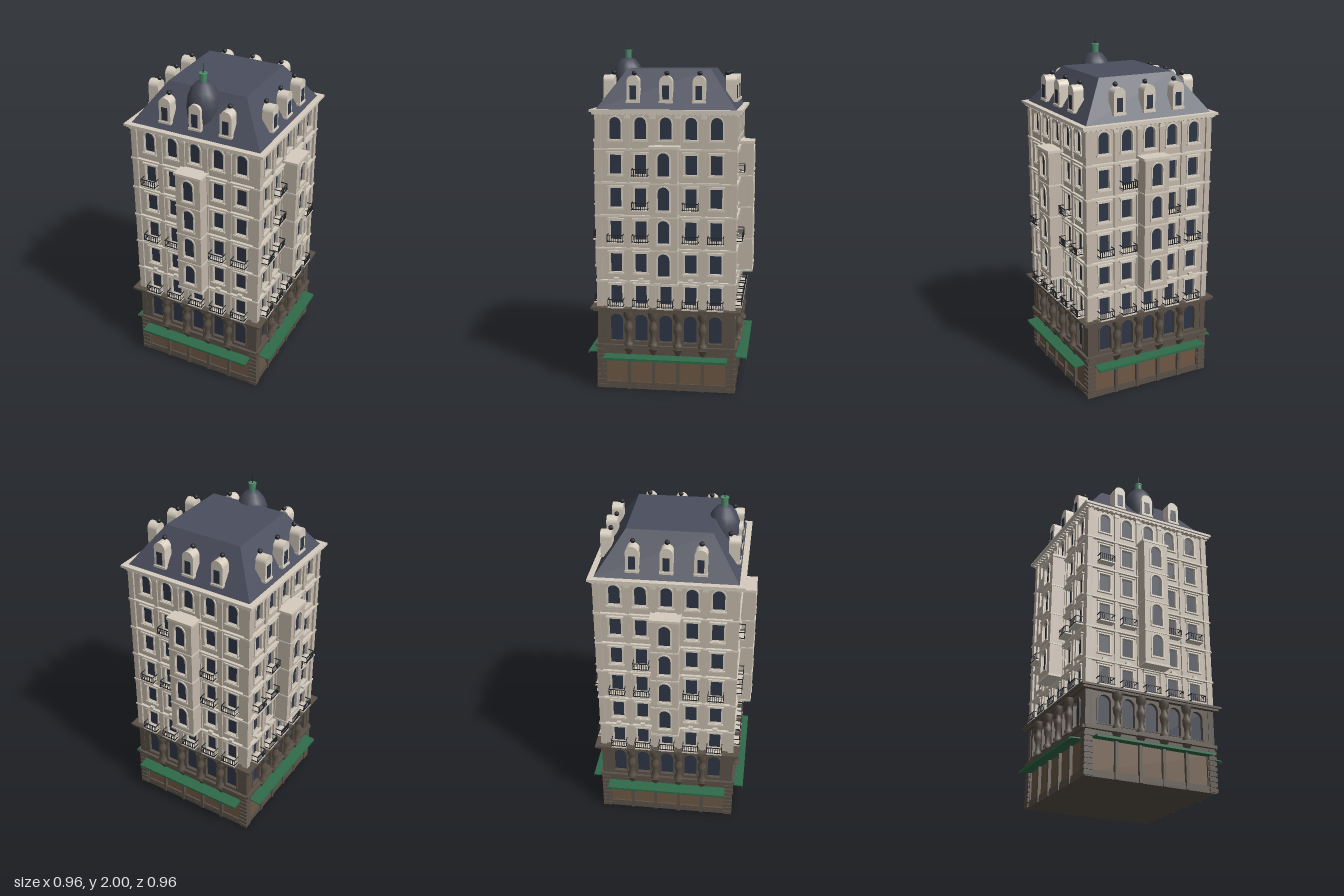
import * as THREE from 'three';

const mat = (color, opts = {}) => new THREE.MeshStandardMaterial({ color, ...opts });
const WALL = mat(0xc4b8aa), TRIM = mat(0xd6cdbf), BASE = mat(0x5a5147), GLASS = mat(0x2d3545);
const SHOP = mat(0x6e5845), SLATE = mat(0x4b4e5d, { flatShading: true }), IRON = mat(0x24262b);
const AWNING = mat(0x2f6a49), COPPER = mat(0x4d8a6b), DOME = mat(0x454856);

const BAYS = [-0.284, -0.142, 0, 0.142, 0.284];
const PIERS = [-0.213, -0.071, 0.071, 0.213];
const FLOORS = [0.51, 0.697, 0.885, 1.072, 1.26, 1.455];
const BANDS = [0.64, 0.83, 1.018, 1.205, 1.395];

// balconies per side: [floor, bay], in the order front, left, back, right of the plan
const COMMON = [...BAYS.map((_, b) => [0, b]), [2, 0], [2, 1], [2, 3], [2, 4]];
const BALCONIES = [
  [...COMMON, [4, 0]],
  [...COMMON, [3, 1], [3, 3], [4, 1]],
  [...COMMON, [4, 1], [3, 3]],
  [...COMMON, [3, 1]],
];

function add(parent, name, geometry, material, x = 0, y = 0, z = 0) {
  const mesh = new THREE.Mesh(geometry, material);
  mesh.name = name;
  mesh.position.set(x, y, z);
  parent.add(mesh);
  return mesh;
}

// box from its width, vertical range and depth range
const box = (p, name, m, x, w, y0, y1, z0, z1) =>
  add(p, name, new THREE.BoxGeometry(w, y1 - y0, z1 - z0), m, x, (y0 + y1) / 2, (z0 + z1) / 2);

// square slab around the whole tower
const slab = (p, name, m, half, y0, y1) => box(p, name, m, 0, half * 2, y0, y1, -half, half);

// window outline with a straight or round head
function outline(target, x, y, w, h, arched) {
  const r = w / 2;
  target.moveTo(x - r, y);
  target.lineTo(x + r, y);
  if (arched) {
    target.lineTo(x + r, y + h - r);
    target.absarc(x, y + h - r, r, 0, Math.PI, false);
  } else {
    target.lineTo(x + r, y + h);
    target.lineTo(x - r, y + h);
  }
  target.closePath();
  return target;
}

const extrude = (shape, depth) =>
  new THREE.ExtrudeGeometry(shape, { depth, bevelEnabled: false, curveSegments: 8 });

// wall sheet pierced by openings [x, y, w, h, arched]
function piercedWall(p, name, m, half, y0, y1, z0, z1, openings) {
  const shape = outline(new THREE.Shape(), 0, y0, half * 2, y1 - y0, false);
  openings.forEach(o => shape.holes.push(outline(new THREE.Path(), ...o)));
  return add(p, name, extrude(shape, z1 - z0), m, 0, 0, z0);
}

function surround(p, m, z, [x, y, w, h, arched]) {
  const shape = outline(new THREE.Shape(), x, y - 0.004, w + 0.016, h + 0.012, arched);
  shape.holes.push(outline(new THREE.Path(), x, y, w, h, arched));
  add(p, 'windowSurround', extrude(shape, 0.007), m, 0, 0, z);
}

function balcony(p, x, y) {
  const g = new THREE.Group();
  g.name = 'balcony';
  p.add(g);
  box(g, 'balconySlab', TRIM, x, 0.092, y - 0.018, y - 0.01, 0.385, 0.43);
  for (const h of [-0.007, 0.03]) {
    box(g, 'rail', IRON, x, 0.092, y + h, y + h + 0.004, 0.425, 0.429);
    for (const s of [-1, 1]) box(g, 'sideRail', IRON, x + s * 0.044, 0.004, y + h, y + h + 0.004, 0.385, 0.427);
  }
  for (let i = 0; i < 8; i++)
    box(g, 'baluster', IRON, x - 0.044 + i * 0.088 / 7, 0.003, y - 0.01, y + 0.032, 0.4255, 0.4285);
}

// dark ground floors with shopfronts, arched windows and columns
function baseFacade(side) {
  const shops = BAYS.map(x => [x, 0.04, 0.124, 0.165, false]);
  const arches = BAYS.map(x => [x, 0.29, 0.074, 0.16, true]);
  piercedWall(side, 'baseWall', BASE, 0.372, 0, 0.48, 0.375, 0.392, [...shops, ...arches]);
  arches.forEach(a => surround(side, BASE, 0.39, a));
  box(side, 'shopfront', SHOP, 0, 0.71, 0.03, 0.21, 0.37, 0.382);
  box(side, 'baseStringCourse', BASE, 0, 0.8, 0.25, 0.268, 0.385, 0.41);
  const profile = [[0.026, 0.268], [0.026, 0.285], [0.016, 0.295], [0.015, 0.335], [0.024, 0.36],
    [0.025, 0.385], [0.015, 0.405], [0.017, 0.425], [0.028, 0.44], [0.028, 0.47]];
  const column = new THREE.LatheGeometry(profile.map(q => new THREE.Vector2(...q)), 10);
  const flare = new THREE.CylinderGeometry(0.036, 0.012, 0.04, 4).rotateY(Math.PI / 4);
  for (const x of PIERS) {
    add(side, 'column', column, BASE, x, 0, 0.405);
    box(side, 'shopPier', BASE, x, 0.018, 0, 0.22, 0.385, 0.4);
    add(side, 'pierCapital', flare, BASE, x, 0.23, 0.39);
  }
  const awning = box(side, 'awning', AWNING, 0, 0.71, 0.202, 0.208, 0.385, 0.463);
  awning.rotation.x = 0.06;
  box(side, 'awningValance', AWNING, 0, 0.71, 0.192, 0.203, 0.459, 0.463);
}

// projecting bay of four storeys
function oriel(side) {
  const g = new THREE.Group();
  g.name = 'oriel';
  side.add(g);
  box(g, 'orielCore', GLASS, 0, 0.13, 0.66, 1.41, 0.37, 0.462);
  for (const s of [-1, 1]) box(g, 'orielCheek', WALL, s * 0.07, 0.012, 0.655, 1.412, 0.37, 0.472);
  const openings = FLOORS.slice(1, 5).map(y => [0, y, 0.066, 0.13, true]);
  piercedWall(g, 'orielFront', WALL, 0.076, 0.655, 1.412, 0.46, 0.474, openings);
  openings.forEach(o => {
    surround(g, TRIM, 0.473, o);
    box(g, 'orielSill', TRIM, 0, 0.085, o[1] - 0.012, o[1] - 0.003, 0.47, 0.482);
  });
  BANDS.slice(1, 4).forEach(y => box(g, 'orielBand', TRIM, 0, 0.158, y + 0.01, y + 0.018, 0.38, 0.478));
  box(g, 'orielFoot', TRIM, 0, 0.16, 0.645, 0.658, 0.37, 0.478);
  box(g, 'orielRoof', TRIM, 0, 0.17, 1.41, 1.424, 0.37, 0.478);
}

function upperFacade(side, balconies) {
  const openings = [];
  FLOORS.forEach((y, f) => BAYS.forEach((x, b) => {
    if (b === 2 && f > 0 && f < 5) return;
    openings.push([x, y, 0.066, f === 5 ? 0.122 : 0.108, f === 5]);
  }));
  piercedWall(side, 'upperWall', WALL, 0.37, 0.48, 1.6, 0.365, 0.385, openings);
  openings.forEach(o => {
    const [x, y, w, h, arched] = o;
    surround(side, TRIM, 0.384, o);
    box(side, 'sill', TRIM, x, w + 0.024, y - 0.012, y - 0.003, 0.38, 0.397);
    if (!arched) box(side, 'windowHood', TRIM, x, w + 0.03, y + h + 0.009, y + h + 0.017, 0.38, 0.4);
    if (y < 0.6 && x) box(side, 'keystone', TRIM, x, 0.026, 0.646, 0.664, 0.38, 0.402);
  });
  PIERS.forEach(x => {
    box(side, 'pilaster', WALL, x, 0.022, 0.49, 1.6, 0.38, 0.395);
    box(side, 'pilasterCapital', TRIM, x, 0.03, 1.57, 1.59, 0.38, 0.4);
  });
  for (let i = 0; i < 27; i++) box(side, 'modillion', TRIM, -0.39 + i * 0.03, 0.012, 1.59, 1.603, 0.38, 0.412);
  balconies.forEach(([f, b]) => balcony(side, BAYS[b], FLOORS[f]));
}

// round-headed dormers with a small dark finial
function dormers(side) {
  for (const x of [-0.183, 0, 0.183]) {
    const g = new THREE.Group();
    g.name = 'dormer';
    g.position.x = x;
    side.add(g);
    const body = outline(new THREE.Shape(), 0, 1.655, 0.07, 0.15, true);
    add(g, 'dormerBody', extrude(body, 0.062), TRIM, 0, 0, 0.318);
    const pane = outline(new THREE.Shape(), 0, 1.675, 0.036, 0.075, false);
    add(g, 'dormerWindow', extrude(pane, 0.004), GLASS, 0, 0, 0.379);
    box(g, 'dormerSill', TRIM, 0, 0.076, 1.655, 1.667, 0.34, 0.386);
    add(g, 'dormerFinial', new THREE.SphereGeometry(0.014, 8, 6), IRON, 0, 1.816, 0.325);
  }
}

function corner(p) {
  box(p, 'cornerPier', WALL, 0.38, 0.034, 0.48, 1.6, 0.363, 0.397);
  box(p, 'baseCorner', BASE, 0.3775, 0.035, 0, 0.48, 0.36, 0.395);
  for (let i = 0; i < 8; i++)
    box(p, 'quoin', BASE, 0.376, 0.05, i * 0.03 + 0.004, i * 0.03 + 0.026, 0.351, 0.401);
}

export function createModel() {
  const tower = new THREE.Group();
  tower.name = 'tower';

  // cores and horizontal courses
  slab(tower, 'plinth', BASE, 0.393, 0, 0.025);
  slab(tower, 'baseGlazing', GLASS, 0.376, 0.025, 0.48);
  slab(tower, 'upperGlazing', GLASS, 0.371, 0.48, 1.6);
  slab(tower, 'baseCornice', BASE, 0.418, 0.468, 0.48);
  slab(tower, 'baseCorniceTop', BASE, 0.43, 0.48, 0.492);
  BANDS.forEach(y => slab(tower, 'stringCourse', TRIM, 0.402, y, y + 0.01));
  slab(tower, 'cornice', TRIM, 0.412, 1.596, 1.606);
  slab(tower, 'corniceTop', TRIM, 0.423, 1.606, 1.62);

  // four sides
  ['front', 'left', 'back', 'right'].forEach((name, i) => {
    const side = new THREE.Group();
    side.name = name + 'Side';
    side.rotation.y = i * Math.PI / 2;
    tower.add(side);
    baseFacade(side);
    upperFacade(side, BALCONIES[i]);
    oriel(side);
    dormers(side);
    corner(side);
  });

  // mansard roof
  const roof = new THREE.CylinderGeometry(0.235 * Math.SQRT2, 0.39 * Math.SQRT2, 0.22, 4).rotateY(Math.PI / 4);
  add(tower, 'mansardRoof', roof, SLATE, 0, 1.73, 0);

  // front dome with lantern and spire
  const dome = [[0.08, 1.66], [0.09, 1.71], [0.094, 1.765], [0.088, 1.81], [0.071, 1.855], [0.043, 1.89], [0, 1.908]];
  add(tower, 'dome', new THREE.LatheGeometry(dome.map(q => new THREE.Vector2(...q)), 14), DOME, 0, 0, 0.275);
  add(tower, 'lantern', new THREE.CylinderGeometry(0.02, 0.02, 0.05, 8), COPPER, 0, 1.92, 0.275);
  add(tower, 'lanternCap', new THREE.CylinderGeometry(0.024, 0.024, 0.008, 8), COPPER, 0, 1.944, 0.275);
  add(tower, 'spire', new THREE.CylinderGeometry(0.001, 0.003, 0.055, 6), IRON, 0, 1.9725, 0.275);
  return tower;
}
